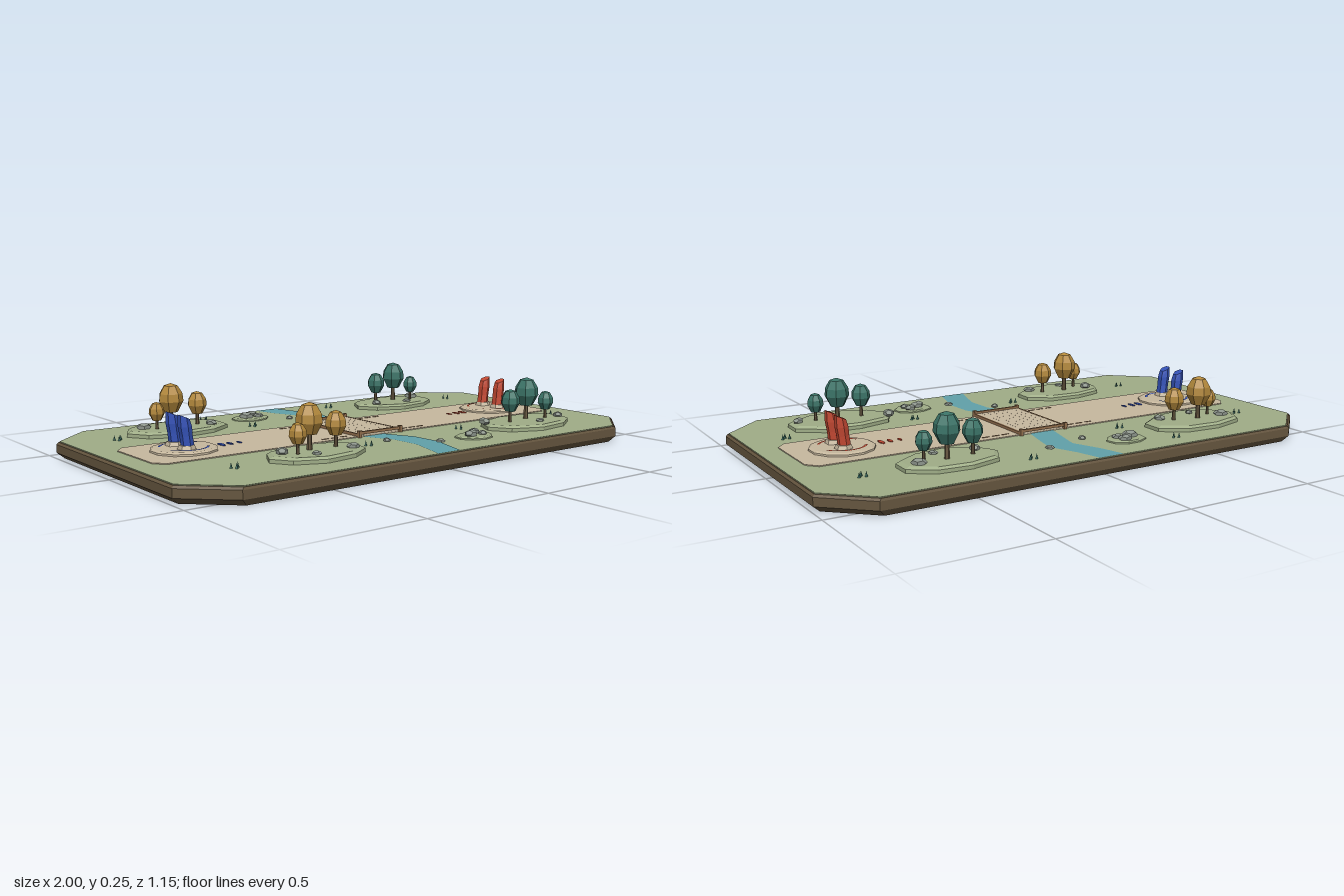
import * as THREE from 'three';

const mat = (name, color) => Object.assign(new THREE.MeshStandardMaterial({ color }), { name });
const M = {
  soil: mat('soil brown', 0x66563f), grass: mat('meadow green', 0xa0ae88), sand: mat('path sand', 0xc8b99f),
  water: mat('river water', 0x62a2aa), gold: mat('autumn gold', 0xb2883c), teal: mat('teal foliage', 0x3a7266),
  blue: mat('blue crystal', 0x3452b8), red: mat('red crystal', 0xc24832), stone: mat('grey stone', 0x8d958c),
  wood: mat('bridge wood', 0x94704e),
};
const GROUND = 0.063, MOUND = 0.084;

// faceted normals
function flat(g) {
  const f = g.index ? g.toNonIndexed() : g;
  f.computeVertexNormals();
  return f;
}

function add(parent, name, geo, material, x = 0, y = 0, z = 0) {
  const m = new THREE.Mesh(geo, material);
  m.name = name;
  m.position.set(x, y, z);
  parent.add(m);
  return m;
}

// stacks scaled copies of a convex [x, z] outline; levels are [y, scale]
function loft(outline, levels) {
  const pos = [], n = outline.length;
  const p = (i, [y, s]) => [outline[i % n][0] * s, y, outline[i % n][1] * s];
  const first = levels[0], last = levels[levels.length - 1];
  for (let i = 0; i < n; i++) {
    for (let k = 0; k + 1 < levels.length; k++) {
      const a = p(i, levels[k]), b = p(i + 1, levels[k]), c = p(i + 1, levels[k + 1]), d = p(i, levels[k + 1]);
      pos.push(...a, ...d, ...b, ...b, ...d, ...c);
    }
    pos.push(0, last[0], 0, ...p(i + 1, last), ...p(i, last));
    pos.push(0, first[0], 0, ...p(i, first), ...p(i + 1, first));
  }
  const g = new THREE.BufferGeometry();
  g.setAttribute('position', new THREE.Float32BufferAttribute(pos, 3));
  g.computeVertexNormals();
  return g;
}

// rectangle with cut corners
const cutRect = (w, d, cx, cz) => [[w, -d + cz], [w, d - cz], [w - cx, d], [-w + cx, d],
  [-w, d - cz], [-w, -d + cz], [-w + cx, -d], [w - cx, -d]];

// slightly uneven oval
const oval = (rx, rz, n, turn = 0, wobble = 0) => Array.from({ length: n }, (_, i) => {
  const a = turn + i / n * Math.PI * 2, r = 1 - wobble * (0.5 + 0.5 * Math.sin(i * 2.3));
  return [Math.cos(a) * rx * r, Math.sin(a) * rz * r];
});

function tree(parent, x, z, size, leaf) {
  const g = new THREE.Group();
  g.name = 'tree';
  g.position.set(x, MOUND - 0.003, z);
  g.scale.setScalar(size);
  add(g, 'trunk', flat(new THREE.CylinderGeometry(0.007, 0.01, 0.07, 6)), M.soil, 0, 0.035, 0);
  const profile = [[0, 0.052], [0.026, 0.056], [0.047, 0.096], [0.044, 0.125], [0.026, 0.155], [0, 0.164]];
  const crown = new THREE.LatheGeometry(profile.map(([r, y]) => new THREE.Vector2(r, y)), 7);
  add(g, 'crown', flat(crown), leaf).rotation.y = x * 9;
  parent.add(g);
}

function rock(parent, x, y, z, r) {
  const m = add(parent, 'rock', flat(new THREE.DodecahedronGeometry(r)), M.stone, x, y + r * 0.2, z);
  m.scale.set(1, 0.5, 0.75);
  m.rotation.y = x * 7 + z * 5;
}

function grove(parent, { at: [x, z], size: [rx, rz], leaf, trees, rocks }) {
  const g = new THREE.Group();
  g.name = 'grove';
  add(g, 'mound', loft(oval(rx, rz, 9, 0.35, 0.06), [[GROUND - 0.003, 1], [0.076, 1], [MOUND, 0.91]]), M.grass, x, 0, z);
  trees.forEach(([tx, tz, s]) => tree(g, tx, tz, s, leaf));
  rocks.forEach(([sx, sz], i) => rock(g, sx, MOUND, sz, [0.029, 0.025, 0.018][i]));
  parent.add(g);
}

function camp(parent, side, colour) {
  const g = new THREE.Group();
  g.name = side < 0 ? 'blueCamp' : 'redCamp';
  g.position.x = side * 0.722;
  add(g, 'pad', loft(oval(0.118, 0.118, 12, Math.PI / 12), [[0.06, 1], [0.073, 1], [0.078, 0.92]]), M.sand);
  for (const s of [-1, 1]) {
    // painted arcs
    const arc = new THREE.RingGeometry(0.079, 0.088, 16, 1, s * Math.PI / 2 - 1.05, 2.1).rotateX(-Math.PI / 2);
    add(g, 'paintedArc', arc, colour, 0, 0.0795, 0);
    // crystal with sloping top, leaning outward
    add(g, 'crystalFoot', flat(new THREE.CylinderGeometry(0.027, 0.033, 0.016, 6)), M.sand, side * 0.013, 0.084, s * 0.043);
    const c = new THREE.CylinderGeometry(0.02, 0.023, 0.1, 6, 3);
    const p = c.attributes.position;
    for (let i = 0; i < p.count; i++) {
      const px = p.getX(i), h = p.getY(i) / 0.1 + 0.5;
      if (h > 0.99) p.setY(i, p.getY(i) + side * px * 0.45);
      else if (h > 0.5) { p.setX(i, px * 1.15); p.setZ(i, p.getZ(i) * 1.1); }
      p.setX(i, p.getX(i) + side * h * 0.012);
    }
    add(g, 'crystal', flat(c), colour, side * 0.01, 0.139, s * 0.043);
  }
  // direction marks, shrinking toward the middle
  [[0.148, 0.024], [0.182, 0.02], [0.22, 0.015]].forEach(([d, r]) => {
    add(g, 'directionMark', new THREE.CylinderGeometry(r, r, 0.003, 12), colour, -side * d, 0.068, 0).scale.x = 0.36;
  });
  parent.add(g);
}

export function createModel() {
  const model = new THREE.Group();
  model.name = 'arenaDiorama';

  // ground
  add(model, 'soilBase', loft(cutRect(1, 0.575, 0.155, 0.145), [[0, 0.975], [0.022, 1], [0.052, 1], [0.06, 0.993]]), M.soil);
  add(model, 'grassTop', loft(cutRect(0.99, 0.566, 0.152, 0.142), [[0.058, 1], [GROUND, 1]]), M.grass);
  const bank = [[-0.07, -0.566], [-0.045, -0.47], [0, -0.36], [-0.02, -0.27], [-0.045, -0.165],
    [-0.08, 0.165], [-0.025, 0.28], [-0.02, 0.4], [-0.068, 0.566]];
  const far = bank.map(([x, z]) => [x + 0.1, z]).reverse();
  const river = new THREE.Shape([...bank, ...far].map(([x, z]) => new THREE.Vector2(x, -z)));
  add(model, 'river', new THREE.ShapeGeometry(river).rotateX(-Math.PI / 2), M.water, 0, 0.0642, 0);
  add(model, 'sandLane', loft(cutRect(0.908, 0.166, 0.035, 0.04), [[0.06, 1], [0.0665, 1]]), M.sand);

  // bridge
  const bridge = new THREE.Group();
  bridge.name = 'bridge';
  for (let i = 0; i < 8; i++) {
    add(bridge, 'plank', new THREE.BoxGeometry(0.0235, 0.01, 0.33), M.sand, -0.084 + i * 0.024, 0.071, 0);
  }
  for (const s of [-1, 1]) {
    add(bridge, 'rail', new THREE.BoxGeometry(0.2, 0.01, 0.01), M.wood, 0, 0.079, s * 0.169);
    add(bridge, 'endBeam', new THREE.BoxGeometry(0.007, 0.012, 0.33), M.wood, s * 0.098, 0.071, 0);
    for (const e of [-1, 1]) {
      add(bridge, 'post', new THREE.BoxGeometry(0.012, 0.026, 0.013), M.wood, e * 0.096, 0.075, s * 0.171);
      // dashes beside the bridge
      for (let i = 0; i < 3; i++) {
        add(model, 'laneDash', new THREE.BoxGeometry(0.028, 0.002, 0.005), M.wood, e * (0.143 + i * 0.041), 0.067, s * 0.136);
      }
    }
  }
  model.add(bridge);

  camp(model, -1, M.blue);
  camp(model, 1, M.red);

  // groves
  [
    { at: [-0.56, -0.347], size: [0.212, 0.125], leaf: M.gold,
      trees: [[-0.575, -0.363, 1], [-0.65, -0.333, 0.63], [-0.477, -0.34, 0.78]],
      rocks: [[-0.685, -0.37], [-0.437, -0.305], [-0.597, -0.287]] },
    { at: [0.487, -0.345], size: [0.195, 0.118], leaf: M.teal,
      trees: [[0.505, -0.365, 1], [0.403, -0.357, 0.78], [0.575, -0.333, 0.63]],
      rocks: [[0.613, -0.373], [0.37, -0.31], [0.517, -0.287]] },
    { at: [-0.415, 0.347], size: [0.195, 0.118], leaf: M.gold,
      trees: [[-0.43, 0.328, 1], [-0.503, 0.365, 0.66], [-0.327, 0.337, 0.78]],
      rocks: [[-0.537, 0.323], [-0.29, 0.385], [-0.455, 0.405]] },
    { at: [0.58, 0.352], size: [0.212, 0.128], leaf: M.teal,
      trees: [[0.6, 0.332, 1], [0.497, 0.347, 0.78], [0.675, 0.363, 0.66]],
      rocks: [[0.4, 0.308], [0.742, 0.37], [0.597, 0.41]] },
  ].forEach((g) => grove(model, g));

  // boulder patches
  for (const [x, z] of [[-0.193, -0.415], [0.245, 0.415]]) {
    add(model, 'boulderPatch', loft(oval(0.08, 0.062, 9, 0.2, 0.08), [[0.06, 1], [0.068, 1], [0.072, 0.9]]), M.grass, x, 0, z);
    rock(model, x - 0.024, 0.072, z + 0.006, 0.031);
    rock(model, x + 0.022, 0.072, z - 0.026, 0.026);
    rock(model, x + 0.03, 0.072, z + 0.012, 0.021);
  }
  // river stones
  [[-0.066, -0.325], [0.105, -0.373], [-0.06, 0.283], [0.084, 0.41]].forEach(([x, z]) => rock(model, x, GROUND, z, 0.018));

  // grass tufts
  [[-0.365, -0.485], [0.228, -0.455], [-0.815, -0.315], [-0.275, -0.265], [0.8, -0.345],
    [-0.16, 0.31], [0.315, 0.26], [0.84, 0.237], [-0.728, 0.343]].forEach(([x, z]) => {
    [[-0.012, -0.006], [0.012, -0.004], [0, 0.009]].forEach(([dx, dz]) => {
      add(model, 'grassTuft', flat(new THREE.ConeGeometry(0.006, 0.02, 4)), M.teal, x + dx, 0.072, z + dz);
    });
  });
  return model;
}
